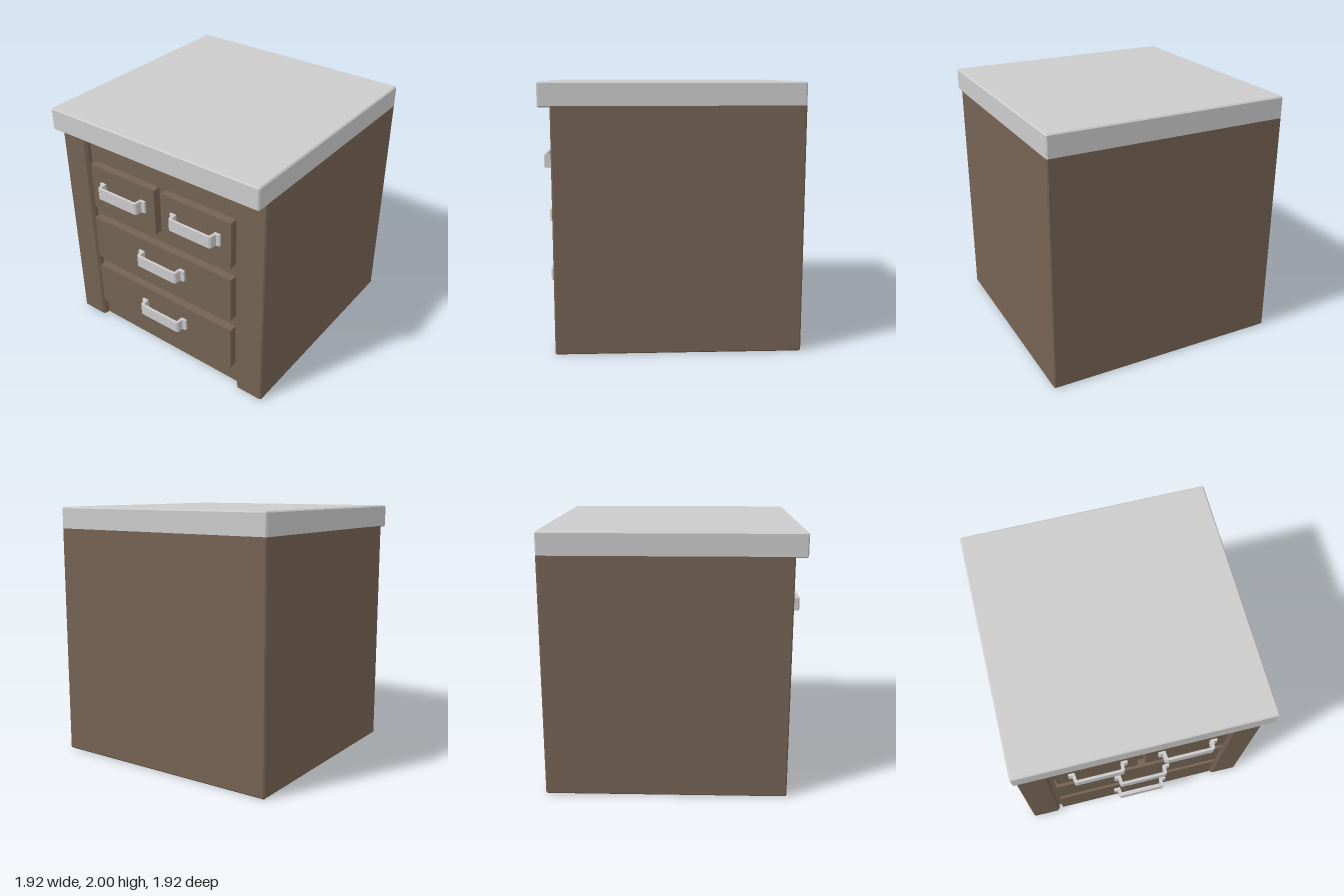
import * as THREE from 'three';

const wood = new THREE.MeshStandardMaterial({ color: 0x756354, flatShading: true });
const grey = new THREE.MeshStandardMaterial({ color: 0xcccccc, flatShading: true });

const CHAMFER = 0.01;
const RECESS_Z = 0.82;
const DRAWER_Z = 0.885;

function add(parent, name, geometry, material) {
  const mesh = new THREE.Mesh(geometry, material);
  mesh.name = name;
  parent.add(mesh);
  return mesh;
}

// Extrudes a plan outline of [x, z] points upward from y0 to y1
function extrudePlan(points, y0, y1, chamfer) {
  const shape = new THREE.Shape(points.map(([x, z]) => new THREE.Vector2(x, -z)));
  const geometry = new THREE.ExtrudeGeometry(shape, {
    depth: y1 - y0 - 2 * chamfer,
    bevelEnabled: chamfer > 0,
    bevelThickness: chamfer,
    bevelSize: chamfer,
    bevelOffset: -chamfer,
    bevelSegments: 1,
  });
  geometry.rotateX(-Math.PI / 2);
  geometry.translate(0, y0 + chamfer, 0);
  return geometry;
}

// Bent strap handle: two feet, two short legs and a front plate
function makeHandle() {
  const half = [
    [0.23, 0], [0.23, 0.018], [0.2, 0.022], [0.195, 0.07], [0.18, 0.08],
  ];
  const inner = [[0.172, 0.06], [0.178, 0]];
  const right = [...inner, ...half.slice(0)];
  const left = right.map(([x, z]) => [-x, z]).reverse();
  return extrudePlan([...right, ...left], -0.05, 0.05, 0.002);
}

export function createModel() {
  const model = new THREE.Group();
  model.name = 'drawerCabinet';

  // Carcass with a recessed front between two stiles
  const rightSide = [
    [0.95, -0.96], [0.96, -0.95], [0.96, 0.86], [0.95, 0.87],
    [0.74, 0.87], [0.72, 0.85], [0.72, RECESS_Z],
  ];
  const leftSide = rightSide.map(([x, z]) => [-x, z]).reverse();
  add(model, 'carcass', extrudePlan([...rightSide, ...leftSide], 0, 1.84, CHAMFER), wood);

  // Countertop overhanging the front
  const e = 0.96, c = 0.95;
  const topPlan = [
    [c, -e], [e, -c], [e, c], [c, e], [-c, e], [-e, c], [-e, -c], [-c, -e],
  ];
  add(model, 'countertop', extrudePlan(topPlan, 1.82, 2, CHAMFER), grey);

  // Drawer fronts with handles: x range, y range, handle centre
  const drawers = [
    ['upperRightDrawer', -0.67, -0.025, 1.185, 1.575, -0.34, 1.4],
    ['upperLeftDrawer', 0.04, 0.68, 1.185, 1.575, 0.365, 1.4],
    ['middleDrawer', -0.685, 0.68, 0.69, 1.075, 0.02, 0.915],
    ['bottomDrawer', -0.685, 0.68, 0.2, 0.59, 0.02, 0.42],
  ];
  const handleGeometry = makeHandle();
  for (const [name, x0, x1, y0, y1, hx, hy] of drawers) {
    const drawer = new THREE.Group();
    drawer.name = name;
    const depth = DRAWER_Z - RECESS_Z + 0.01;
    const front = add(drawer, 'drawerFront', new THREE.BoxGeometry(x1 - x0, y1 - y0, depth), wood);
    front.position.set((x0 + x1) / 2, (y0 + y1) / 2, DRAWER_Z - depth / 2);
    add(drawer, 'handle', handleGeometry, grey).position.set(hx, hy, DRAWER_Z);
    model.add(drawer);
  }
  return model;
}
